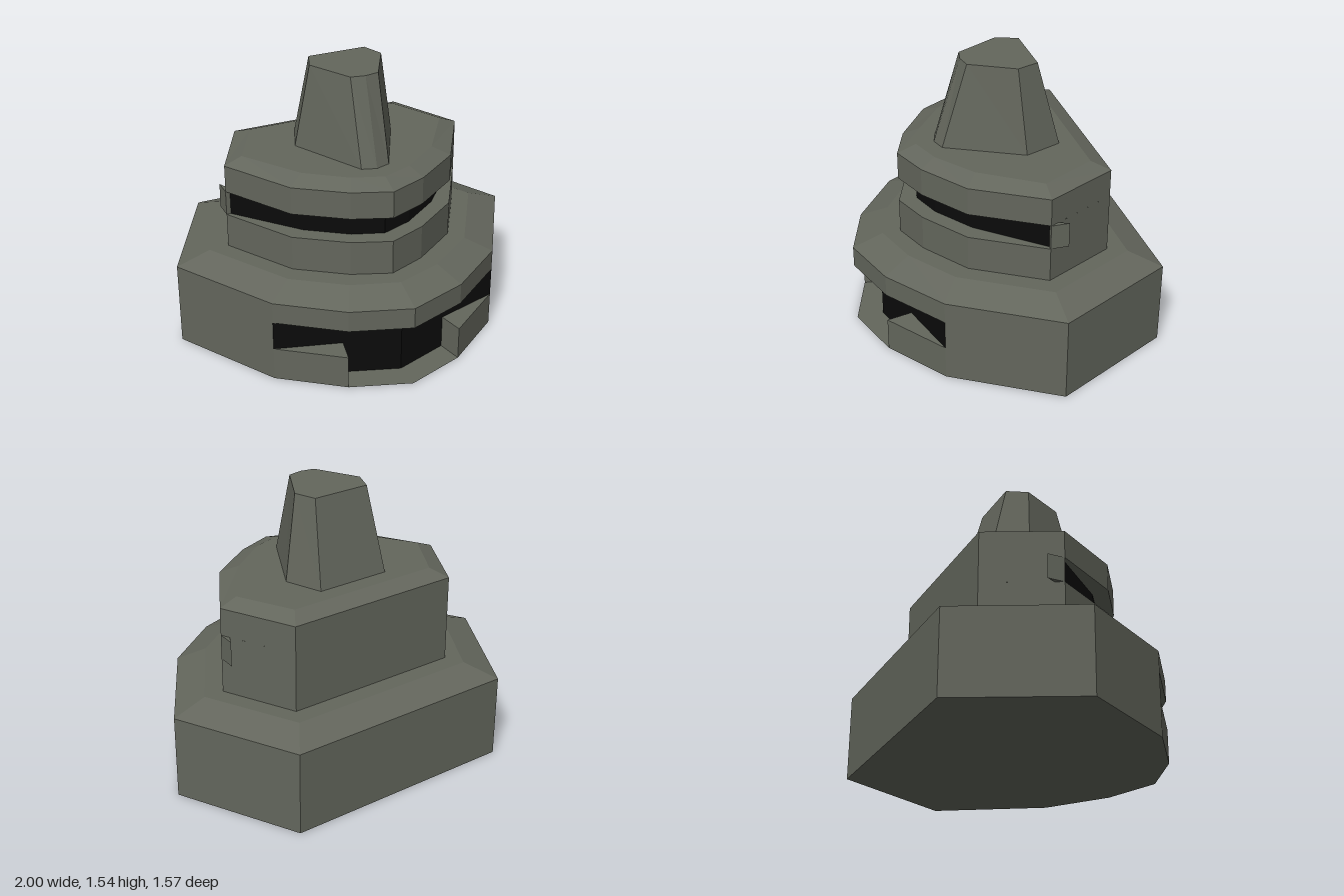
import * as THREE from 'three';

const hullMat = new THREE.MeshStandardMaterial({ color: 0x63665c, flatShading: true, side: THREE.DoubleSide });
const glassMat = new THREE.MeshStandardMaterial({ color: 0x0b0b0b, flatShading: true, side: THREE.DoubleSide });

// Mirrors a half outline of [x, z] points, listed from back to front on the +x side
function mirror(half) {
  const other = half.filter(([x]) => x > 0).map(([x, z]) => [-x, z]).reverse();
  return [...half, ...other];
}

// Flat-sided skin through levels of [y, points]; it may be closed and capped
function skin(levels, { closed = true, bottom = false, top = false } = {}) {
  const pos = [];
  const put = (y, p) => pos.push(p[0], y, p[1]);
  for (let l = 0; l + 1 < levels.length; l++) {
    const [y0, a] = levels[l], [y1, b] = levels[l + 1];
    const n = a.length;
    for (let i = 0; i < (closed ? n : n - 1); i++) {
      const j = (i + 1) % n;
      put(y0, a[i]); put(y1, b[i]); put(y1, b[j]);
      put(y0, a[i]); put(y1, b[j]); put(y0, a[j]);
    }
  }
  const cap = ([y, pts], up) => {
    const flat = pts.map((p) => new THREE.Vector2(p[0], p[1]));
    for (const [i, j, k] of THREE.ShapeUtils.triangulateShape(flat, [])) {
      const a = pts[i], b = pts[j], c = pts[k];
      const ny = (b[1] - a[1]) * (c[0] - a[0]) - (b[0] - a[0]) * (c[1] - a[1]);
      for (const p of (ny > 0) === up ? [a, b, c] : [a, c, b]) put(y, p);
    }
  };
  if (bottom) cap(levels[0], false);
  if (top) cap(levels[levels.length - 1], true);
  const g = new THREE.BufferGeometry();
  g.setAttribute('position', new THREE.Float32BufferAttribute(pos, 3));
  g.computeVertexNormals();
  return g;
}

export function createModel() {
  const model = new THREE.Group();
  const add = (name, geometry, material = hullMat) => {
    const m = new THREE.Mesh(geometry, material);
    m.name = name;
    model.add(m);
  };
  const prism = (half, y0, y1, caps) => {
    const ring = mirror(half);
    return skin([[y0, ring], [y1, ring]], caps);
  };
  const strip = (pts, y0, y1) => skin([[y0, pts], [y1, pts]], { closed: false });

  // Base outlines
  const baseBack = [[0.66, -0.79], [1, -0.13], [0.66, 0.43]];
  const baseOuter = [...baseBack, [0.33, 0.67], [0, 0.78]];
  const baseBevel = [[0.55, -0.625], [0.81, -0.125], [0.53, 0.335], [0.26, 0.525], [0, 0.61]];
  const bayInner = [[0.3, 0.53], [0, 0.63]];

  // Floor, and the lips either side of the front doorway
  const outer = mirror(baseOuter);
  add('baseFloor', skin([[0, outer]], { bottom: true }));
  const lips = mirror([...baseBack, [0.33, 0.67], ...bayInner]);
  const doorway = mirror(bayInner);
  // lip walls run around the back, leaving out the dark doorway
  const half = baseBack.length + 2;
  const lipWall = [...lips.slice(half + 1), ...lips.slice(0, half)];
  add('baseLowerWall', strip(lipWall, 0, 0.19));
  add('baseLipTop', skin([[0.19, lips]], { top: true }));
  add('doorway', strip(doorway, 0, 0.19), glassMat);

  // Wide dark bay above the lips
  const backWall = [...mirror(baseBack).slice(3), ...baseBack];
  add('baseMiddleWall', strip(backWall, 0.19, 0.355));
  add('bayWindow', strip(mirror([[0.66, 0.43], ...bayInner]), 0.19, 0.355), glassMat);

  // Base roof with a sloping rim
  add('baseRoof', skin([[0.355, outer], [0.475, outer], [0.54, mirror(baseBevel)]], { bottom: true, top: true }));

  // Upper tier with a wraparound window slot
  const tierOuter = [[0.5, -0.525], [0.7, -0.13], [0.47, 0.25], [0.21, 0.43], [0, 0.51]];
  const tierBevel = [[0.44, -0.43], [0.6, -0.13], [0.385, 0.185], [0.17, 0.345], [0, 0.405]];
  const slotInner = [[0.675, -0.13], [0.385, 0.2], [0.17, 0.35], [0, 0.41]];
  const slotBack = [[0.5, -0.525], [0.675, -0.18], [0.675, -0.13]];
  add('tierLower', prism(tierOuter, 0.54, 0.735, { top: true }));
  add('tierBackWall', strip([...mirror(slotBack).slice(3), ...slotBack], 0.735, 0.875));
  add('slotWindow', strip(mirror(slotInner), 0.735, 0.875), glassMat);
  const ring = mirror(tierOuter);
  add('tierRoof', skin([[0.875, ring], [1.03, ring], [1.07, mirror(tierBevel)]], { bottom: true, top: true }));

  // Small fins closing the ends of the slot
  const fin = [[0.7, -0.23], [0.7, -0.13], [0.675, -0.13], [0.672, -0.17]];
  const finOther = fin.map(([x, z]) => [-x, z]).reverse();
  [['leftSlotFin', fin], ['rightSlotFin', finOther]].forEach(([name, f]) =>
    add(name, skin([[0.735, f], [0.875, f]], { bottom: true, top: true })));

  // Tapered tower
  const towerFoot = [[0.21, -0.335], [0.29, -0.13], [0.08, 0.28], [0, 0.305]];
  const towerTop = [[0.165, -0.22], [0.21, -0.1], [0.08, 0.14], [0, 0.155]];
  add('tower', skin([[1.07, mirror(towerFoot)], [1.54, mirror(towerTop)]], { top: true }));

  return model;
}
